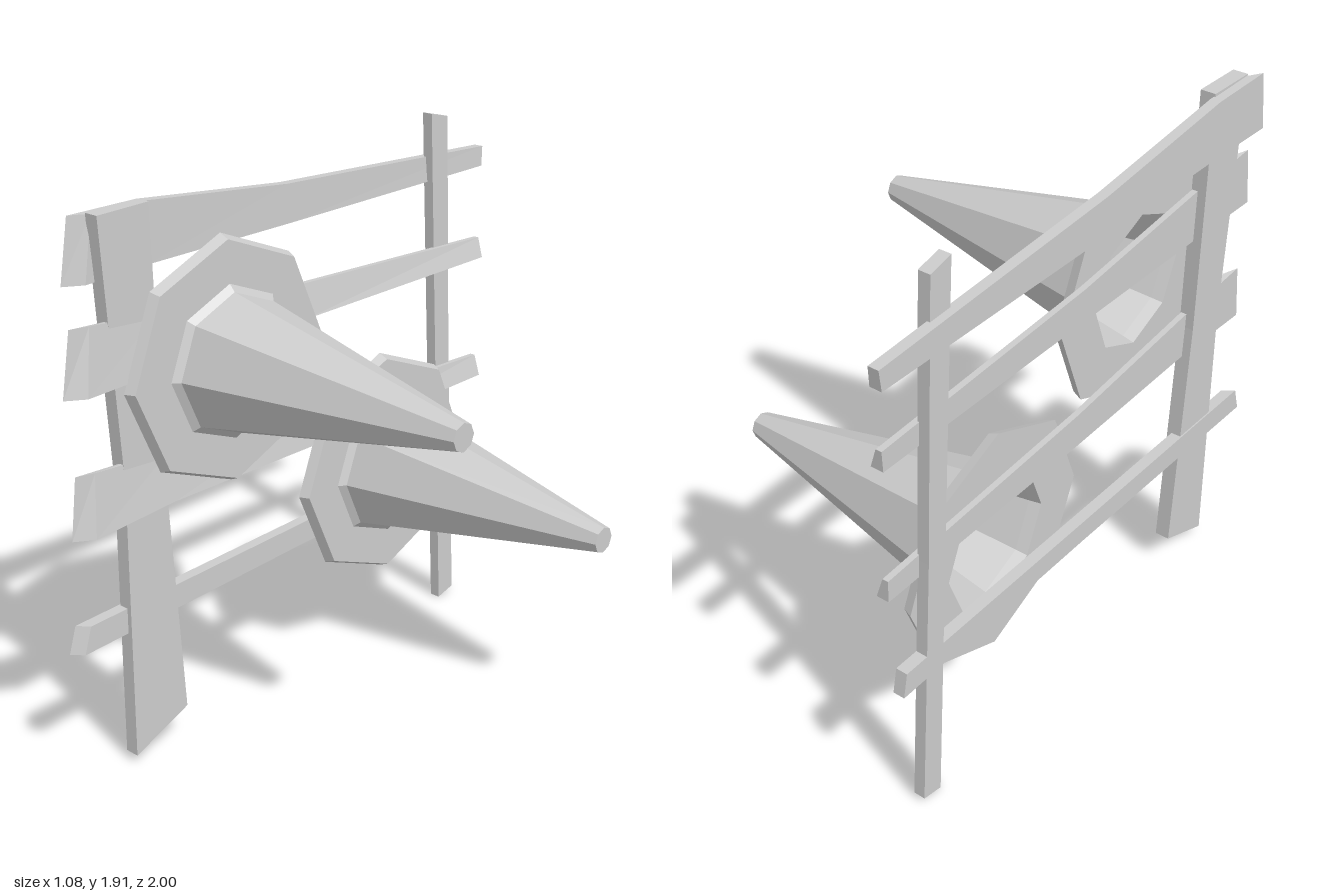
import * as THREE from 'three';

const mat = new THREE.MeshStandardMaterial({ color: 0xcccccc, flatShading: true });

// Hewn plank lofted through sections [zA, yA, zB, yB, skew].
// back / front give x; frontB is the front x along edge B; skew moves the front face's z.
function plank(name, back, front, frontB, sections) {
  const pos = [];
  const quad = (a, b, c, d) => pos.push(...a, ...b, ...c, ...a, ...c, ...d);
  const rings = sections.map(([zA, yA, zB, yB, skew = 0]) => [
    [back, yA, zA],
    [front, yA, zA + skew],
    [frontB, yB, zB + skew],
    [back, yB, zB],
  ]);
  quad(...rings[0]);
  for (let s = 0; s < rings.length - 1; s++) {
    const p = rings[s], q = rings[s + 1];
    for (let i = 0; i < 4; i++) {
      const j = (i + 1) % 4;
      quad(p[i], q[i], q[j], p[j]);
    }
  }
  quad(...[...rings[rings.length - 1]].reverse());
  const geo = new THREE.BufferGeometry();
  geo.setAttribute('position', new THREE.Float32BufferAttribute(pos, 3));
  geo.computeVertexNormals();
  const mesh = new THREE.Mesh(geo, mat);
  mesh.name = name;
  return mesh;
}

// Hollow eight-sided cone with a flat flange, pointing along +x
function cone(name, y, z) {
  const profile = [
    [0, 0.5], [0.035, 0.5], [0.225, -0.4], [0.235, -0.44], // inside
    [0.415, -0.44], [0.4, -0.405],                         // flange
    [0.258, -0.405], [0.235, -0.385],                      // collar
    [0.045, 0.54], [0, 0.54],                              // tip
  ].map(([r, h]) => new THREE.Vector2(r, h));
  const mesh = new THREE.Mesh(new THREE.LatheGeometry(profile, 8), mat);
  mesh.name = name;
  mesh.rotation.z = -Math.PI / 2;
  mesh.position.set(0, y, z);
  return mesh;
}

export function createModel() {
  const model = new THREE.Group();
  model.name = 'fenceWithCones';

  // Upright posts, from top to bottom
  model.add(
    plank('widePost', -0.51, -0.458, -0.458, [
      [0.815, 1.85, 0.62, 1.855],
      [0.78, 1.0, 0.62, 1.0],
      [0.81, 0.03, 0.585, 0.12],
    ]),
    plank('narrowPost', -0.515, -0.475, -0.475, [
      [-0.68, 1.91, -0.765, 1.89],
      [-0.71, 0.95, -0.785, 0.95],
      [-0.74, 0, -0.82, 0.02],
    ]),
  );

  // Rails, from front to rear
  model.add(
    plank('topRail', -0.54, -0.5, -0.505, [
      [0.9, 1.64, 0.86, 1.845, -0.06],
      [0.6, 1.65, 0.6, 1.845],
      [0, 1.655, 0, 1.785],
      [-0.99, 1.67, -1, 1.74],
    ]),
    plank('upperRail', -0.48, -0.437, -0.46, [
      [0.97, 1.32, 0.93, 1.53, -0.06],
      [0.6, 1.33, 0.6, 1.51],
      [0, 1.34, 0, 1.455],
      [-0.925, 1.35, -0.93, 1.42],
    ]),
    plank('lowerRail', -0.48, -0.437, -0.46, [
      [0.98, 0.865, 0.95, 1.07, -0.06],
      [0.6, 0.885, 0.6, 1.05],
      [0, 0.88, 0, 1.0],
      [-0.92, 0.89, -0.92, 0.965],
    ]),
    plank('bottomRail', -0.515, -0.475, -0.475, [
      [1, 0.47, 0.97, 0.56, -0.03],
      [0, 0.505, 0, 0.585],
      [-0.905, 0.525, -0.89, 0.61],
    ]),
  );

  // Cones hung on the fence
  model.add(cone('upperCone', 1.295, 0.36), cone('lowerCone', 0.71, -0.365));
  return model;
}
